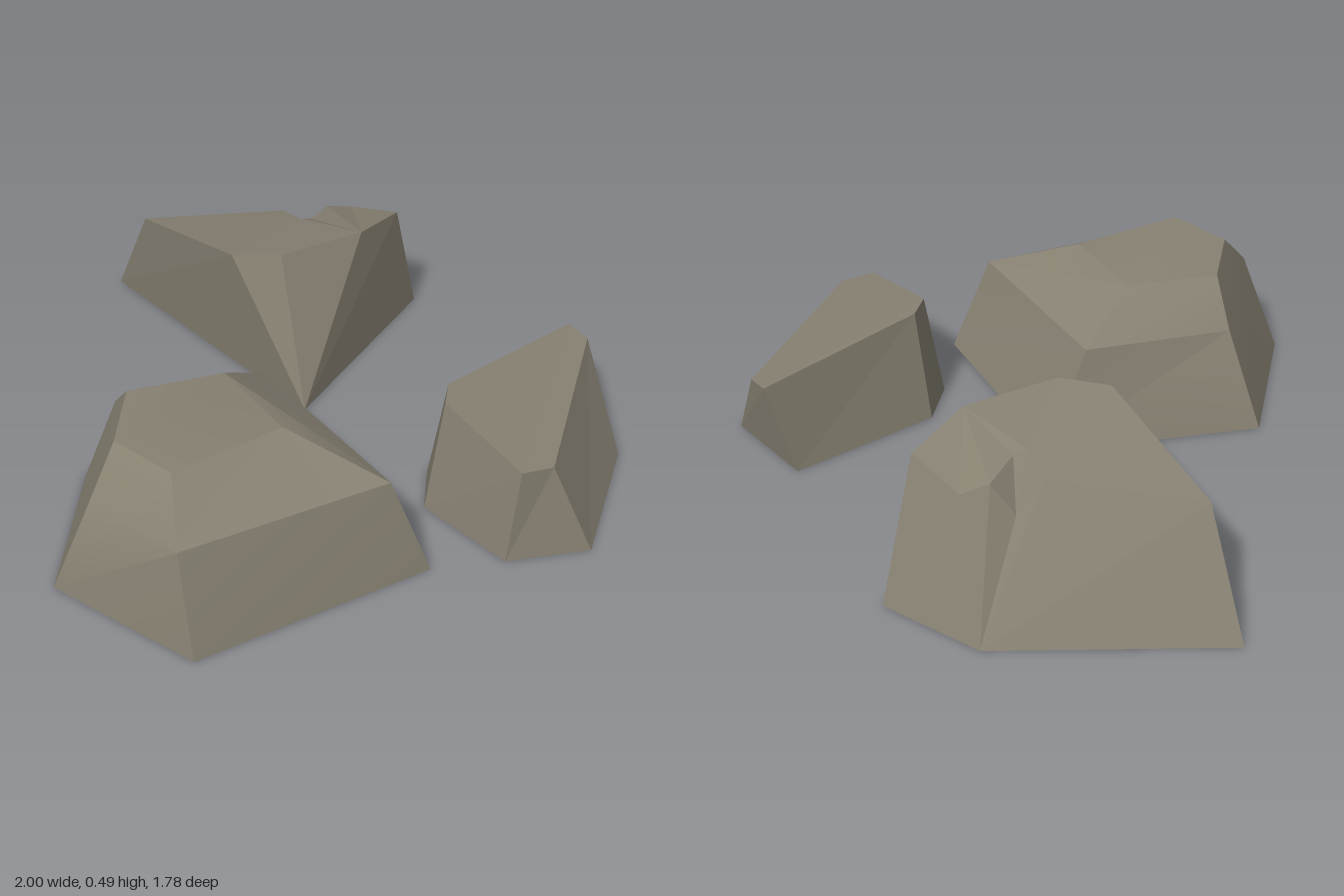
import * as THREE from 'three';
import { toCreasedNormals } from 'three/addons/utils/BufferGeometryUtils.js';

const stone = new THREE.MeshStandardMaterial({ color: 0x878172, side: THREE.DoubleSide });
stone.name = 'stone';

// Faces are lists of corner points, counterclockwise from outside, split as fans
function rock(name, faces, crease) {
  const pos = [];
  for (const f of faces)
    for (let i = 1; i < f.length - 1; i++) pos.push(...f[0], ...f[i], ...f[i + 1]);
  let geo = new THREE.BufferGeometry();
  geo.setAttribute('position', new THREE.Float32BufferAttribute(pos, 3));
  if (crease) geo = toCreasedNormals(geo, crease);
  else geo.computeVertexNormals();
  const mesh = new THREE.Mesh(geo, stone);
  mesh.name = name;
  return mesh;
}

// Walls between stacked rings, closed on top and open underneath
function stack(rings) {
  const faces = [];
  for (let r = 0; r < rings.length - 1; r++) {
    const lo = rings[r], hi = rings[r + 1], n = lo.length;
    for (let i = 0; i < n; i++) {
      const j = (i + 1) % n;
      faces.push([lo[i], lo[j], hi[j], hi[i]]);
    }
  }
  faces.push(rings[rings.length - 1]);
  return faces;
}

const level = (y, pts) => pts.map(([x, z]) => [x, y, z]);

export function createModel() {
  const group = new THREE.Group();
  group.name = 'rocks';

  // Front boulder: steep wall, sloping shoulder, flat top
  group.add(rock('frontRock', stack([
    level(0, [[0.06, -0.09], [-0.22, 0.53], [0.13, 0.89], [0.62, 0.76], [0.76, 0]]),
    level(0.33, [[0.06, 0.05], [-0.11, 0.48], [0.21, 0.8], [0.53, 0.74], [0.68, 0.1]]),
    level(0.46, [[0.12, 0.25], [0.01, 0.52], [0.17, 0.68], [0.38, 0.64], [0.42, 0.28]]),
  ]), 0.58));

  // Small rock with a slanting top
  group.add(rock('smallRock', stack([
    level(0, [[0.43, -0.78], [0.435, -0.29], [0.55, -0.17], [0.875, -0.19], [1, -0.42], [0.75, -0.81]]),
    [[0.46, 0.32, -0.85], [0.49, 0.37, -0.3], [0.55, 0.37, -0.23],
      [0.87, 0.31, -0.23], [0.9, 0.3, -0.33], [0.54, 0.31, -0.85]],
  ])));

  // Cleft rock: base corners
  const fl = [-1, 0, -0.17], fr = [-0.04, 0, -0.2], bk = [-0.27, 0, -0.89], g = [-0.59, 0, -0.77];
  // Rim of the top, round the front and right
  const p1 = [-0.8, 0.37, -0.145], p2 = [-0.32, 0.48, -0.13], p3 = [-0.21, 0.49, -0.24];
  const p4 = [-0.16, 0.48, -0.53], p5 = [-0.22, 0.44, -0.74];
  // Rim of the cleft, and its valley point
  const t6 = [-0.4, 0.39, -0.7], t7 = [-0.43, 0.41, -0.62], t8 = [-0.38, 0.43, -0.51];
  const t9 = [-0.39, 0.44, -0.47], t10 = [-0.5, 0.41, -0.49], v = [-0.48, 0.31, -0.57];
  group.add(rock('cleftRock', [
    [t9, t10, p1, p2, p3, p4, t8], [p4, p5, t6, t7, t8], // top
    [fl, fr, p2, p1], [fr, p3, p2], [fr, p4, p3], [fr, bk, p5, p4], // front and right
    [bk, g, t6, p5], [g, fl, p1, t10], // back and left
    [g, t7, t6], [g, v, t7], [v, t8, t7], [v, t9, t8], [v, t10, t9], [g, t10, v], // cleft
  ]));

  return group;
}
